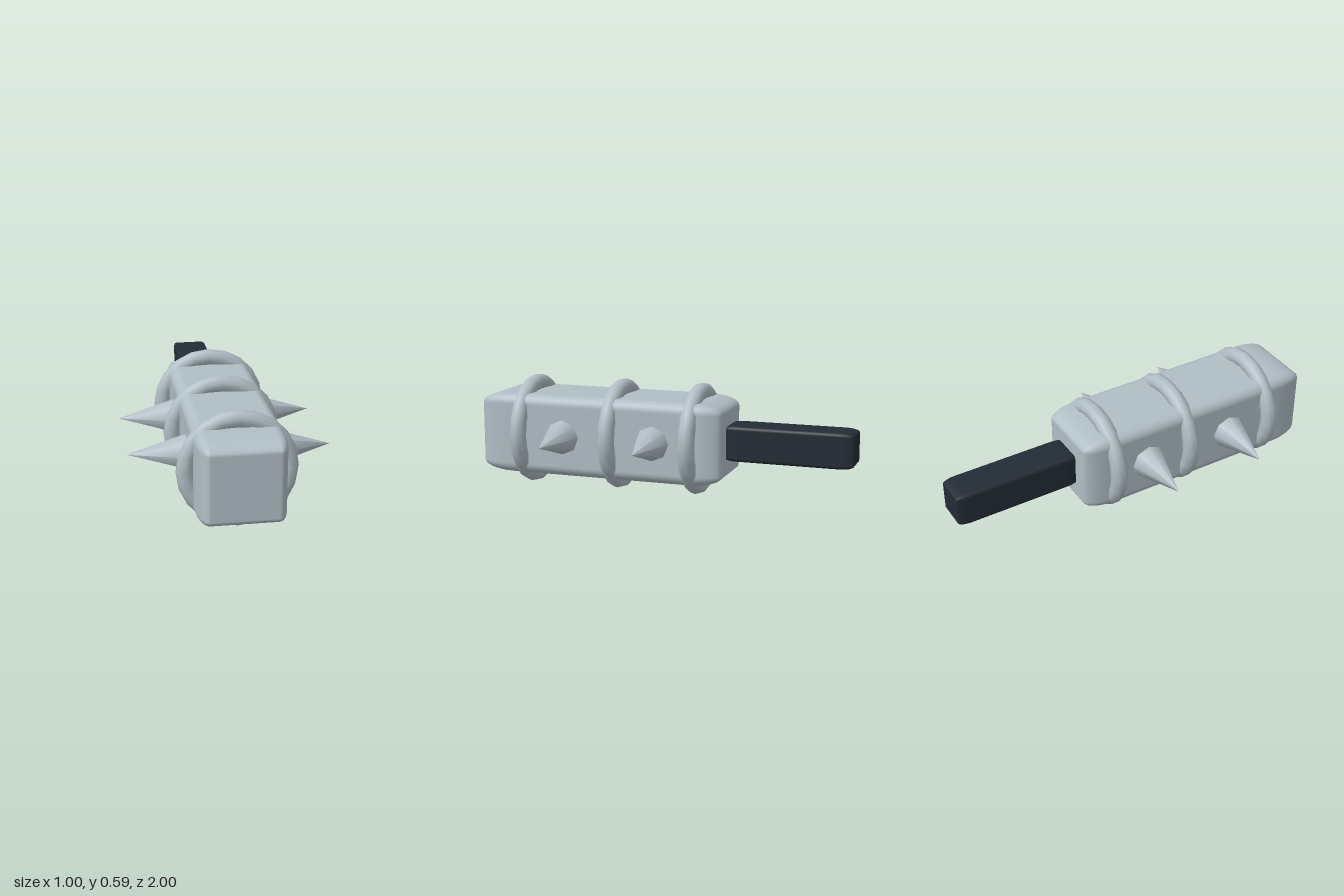
import * as THREE from 'three';
import { RoundedBoxGeometry } from 'three/addons/geometries/RoundedBoxGeometry.js';

const CENTER_Y = 0.297;

export function createModel() {
  const model = new THREE.Group();
  model.name = 'spikedClub';
  const steel = new THREE.MeshStandardMaterial({ color: 0xb0bec5 });
  const grip = new THREE.MeshStandardMaterial({ color: 0x232c35 });

  const add = (name, geometry, material, x, y, z) => {
    const mesh = new THREE.Mesh(geometry, material);
    mesh.name = name;
    mesh.position.set(x, y, z);
    model.add(mesh);
    return mesh;
  };

  // Square bar whose rounded ends are stretched along its length
  const bar = (name, material, width, radius, z0, z1) => {
    const geometry = new RoundedBoxGeometry(width, width, width, 4, radius);
    geometry.scale(1, 1, (z1 - z0) / width);
    return add(name, geometry, material, 0, CENTER_Y, (z0 + z1) / 2);
  };

  bar('head', steel, 0.43, 0.055, -0.34, 1);
  bar('handle', grip, 0.186, 0.02, -1, -0.32);

  // Bands around the head
  const bandGeometry = new THREE.TorusGeometry(0.25, 0.044, 10, 20);
  for (const z of [0.76, 0.26, -0.175]) {
    add('band', bandGeometry, steel, 0, CENTER_Y, z);
  }

  // Spikes on both sides, their bases sunk into the head
  const spikeGeometry = new THREE.ConeGeometry(0.1, 0.315, 8);
  for (const side of [1, -1]) {
    for (const z of [0.02, 0.52]) {
      const spike = add(side > 0 ? 'leftSpike' : 'rightSpike', spikeGeometry, steel, side * 0.345, CENTER_Y, z);
      spike.rotation.z = -side * Math.PI / 2;
    }
  }

  return model;
}
